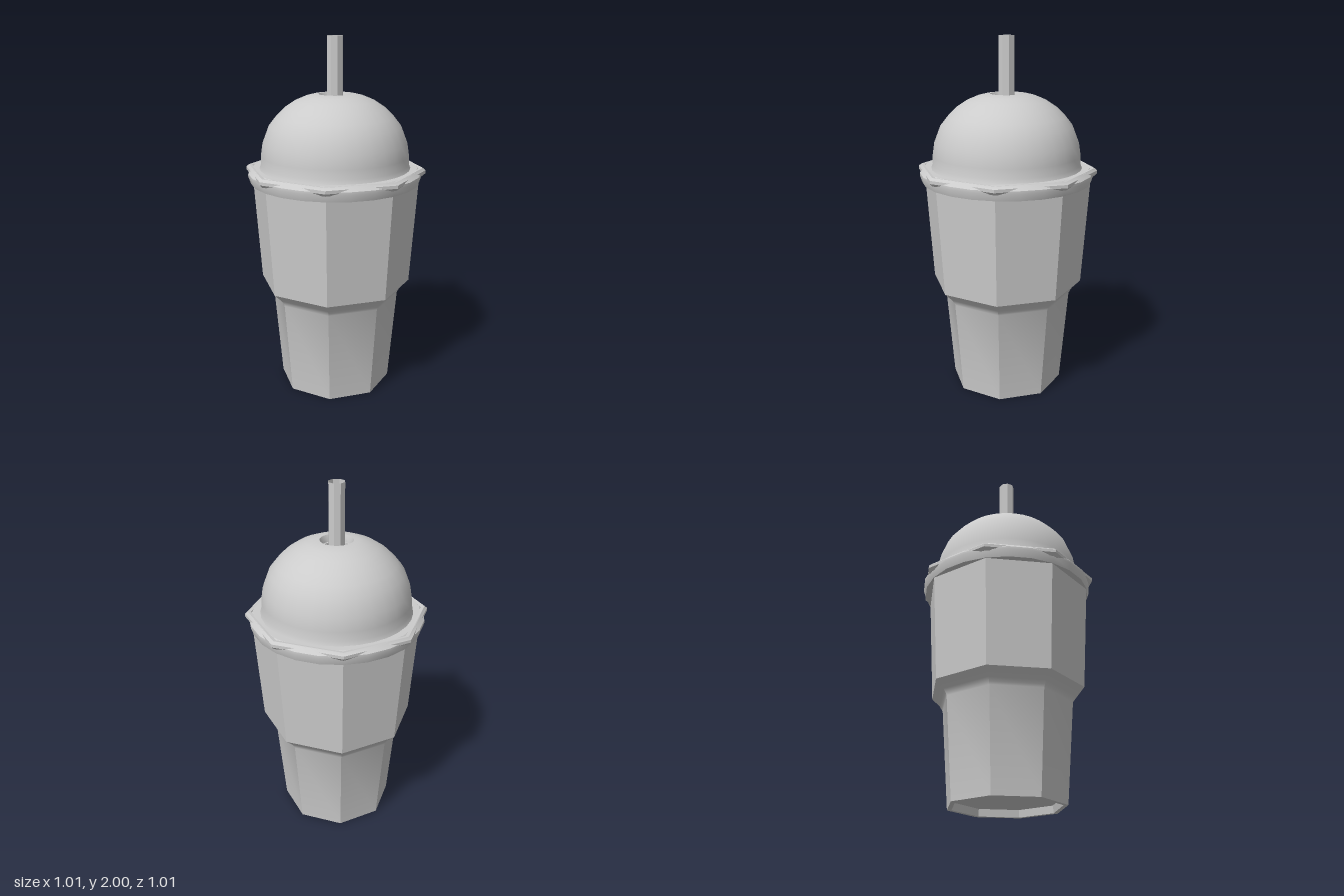
import * as THREE from 'three';
import { toCreasedNormals } from 'three/addons/utils/BufferGeometryUtils.js';

const material = new THREE.MeshStandardMaterial({ color: 0xcccccc });
const thin = new THREE.MeshStandardMaterial({ color: 0xcccccc, side: THREE.DoubleSide });

// Revolve a [radius, height] profile, keeping edges sharper than the crease angle
function lathe(name, profile, sides, crease, mat = material) {
  const points = profile.map(([r, y]) => new THREE.Vector2(r, y));
  const geometry = toCreasedNormals(new THREE.LatheGeometry(points, sides), crease);
  const mesh = new THREE.Mesh(geometry, mat);
  mesh.name = name;
  return mesh;
}

export function createModel() {
  const model = new THREE.Group();
  model.name = 'domedCup';

  // Eight-sided stepped cup with a recessed base
  model.add(lathe('cup', [
    [0, 0.04], [0.29, 0.04], [0.295, 0], [0.32, 0],
    [0.365, 0.54], [0.372, 0.555], [0.385, 0.575], [0.43, 0.62], [0.472, 1.25],
  ], 8, 0.66));

  // Eight-sided rolled rim
  model.add(lathe('rim', [
    [0.462, 1.27], [0.47, 1.25], [0.49, 1.245], [0.505, 1.26],
    [0.505, 1.277], [0.49, 1.29], [0.47, 1.287], [0.462, 1.27],
  ], 8, 0.66));

  // Round lid skirt and flat top ledge
  model.add(lathe('lidSkirt', [
    [0.43, 1.21], [0.472, 1.21], [0.485, 1.25], [0.484, 1.265],
    [0.46, 1.288], [0.4, 1.288],
  ], 24, 0.6));

  // Smooth dome that turns down into the straw hole
  model.add(lathe('dome', [
    [0.422, 1.285], [0.412, 1.31], [0.411, 1.36], [0.4, 1.43], [0.365, 1.52],
    [0.325, 1.57], [0.28, 1.615], [0.22, 1.655], [0.16, 1.68], [0.12, 1.69],
    [0.09, 1.692], [0.083, 1.675], [0.078, 1.655], [0.07, 1.655], [0.07, 1.63],
  ], 32, 0.7, thin));

  // Open eight-sided straw
  const straw = new THREE.Mesh(
    toCreasedNormals(new THREE.CylinderGeometry(0.045, 0.045, 1.9, 8, 1, true), 0.6), thin);
  straw.name = 'straw';
  straw.position.y = 1.05;
  straw.rotation.y = Math.PI / 8;
  model.add(straw);

  return model;
}
